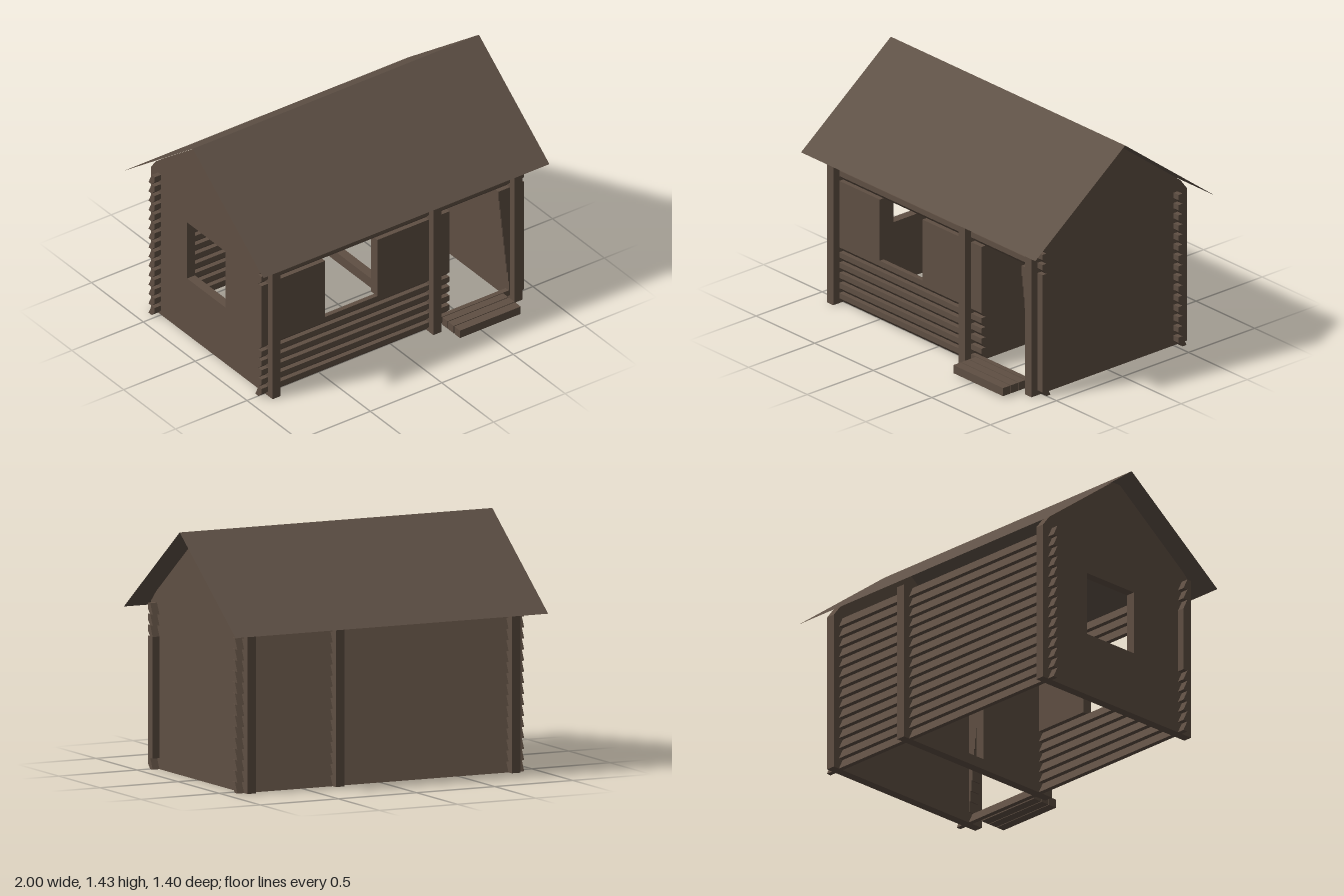
import * as THREE from 'three';

const ROW = 0.0633;          // height of one log
const WALL_ROWS = 15;        // rows up to the eaves
const GABLE_ROWS = 22;       // rows up to the ridge
const RIDGE_Z = -0.02;

export function createModel() {
  const model = new THREE.Group();
  model.name = 'logCabin';
  const wood = new THREE.MeshStandardMaterial({ color: 0x5f4f43 });
  wood.name = 'weatheredWood';
  const roofWood = new THREE.MeshStandardMaterial({ color: 0x5f5146, side: THREE.DoubleSide });
  roofWood.name = 'roofBoards';

  const group = (name) => {
    const g = new THREE.Group();
    g.name = name;
    model.add(g);
    return g;
  };

  // Straight timber along x with a cross-section given as [z, y] points
  const timber = (parent, name, section, x0, x1) => {
    const shape = new THREE.Shape(section.map(([z, y]) => new THREE.Vector2(z, y)));
    const geo = new THREE.ExtrudeGeometry(shape, { depth: x1 - x0, bevelEnabled: false });
    geo.rotateY(-Math.PI / 2).translate(x1, 0, 0);
    const mesh = new THREE.Mesh(geo, wood);
    mesh.name = name;
    parent.add(mesh);
  };
  const rect = (z0, z1, y0, y1) => [[z0, y0], [z1, y0], [z1, y1], [z0, y1]];

  // Undercut log: sloping ledge behind, notched face in front
  const logSection = (z, y) => [
    [z - 0.03, y], [z, y], [z + 0.03, y + 0.03], [z + 0.03, y + ROW], [z, y + ROW],
  ];

  // Front and back walls, with log ends crossing the end walls
  const front = group('frontWall');
  const back = group('backWall');
  const FZ = 0.5, BZ = -0.53;
  for (let i = 0; i < WALL_ROWS; i++) {
    const y = i * ROW;
    timber(back, 'backLog', logSection(BZ, y), -0.92, 0.915);
    const flat = rect(FZ - 0.03, FZ + 0.03, y, y + ROW);
    if (i === 0 || i >= 12) {
      timber(front, 'frontLog', logSection(FZ, y), -0.92, 0.915);
      continue;
    }
    if (i < 6) {
      timber(front, 'frontLog', logSection(FZ, y), -0.92, 0.395);
    } else {
      timber(front, 'windowSideLog', flat, -0.92, -0.475);
      timber(front, 'doorSideLog', flat, -0.11, 0.395);
    }
    // Short logs right of the doorway, longer towards the top
    timber(front, 'doorJambLog', flat, 0.81 - (y - ROW) * 0.115, 0.915);
  }

  // End walls and partition: flat logs running front to back, with an optional opening
  const Z0 = -0.6, Z1 = 0.575;
  const crossWall = (name, x0, x1, rows, opening) => {
    const g = group(name);
    const halfAt = (y) => (1.415 - y) / 0.757;
    for (let i = 0; i < rows; i++) {
      const y0 = i * ROW, y1 = y0 + ROW;
      if (i >= WALL_ROWS) {
        const lo = halfAt(y0), hi = halfAt(y1);
        timber(g, 'gableLog', [
          [Math.max(Z0, RIDGE_Z - lo), y0], [Math.min(Z1, RIDGE_Z + lo), y0],
          [Math.min(Z1, RIDGE_Z + hi), y1], [Math.max(Z0, RIDGE_Z - hi), y1],
        ], x0, x1);
      } else if (opening && i >= opening.from && i < opening.to) {
        timber(g, 'crossLog', rect(Z0, opening.z0, y0, y1), x0, x1);
        timber(g, 'crossLog', rect(opening.z1, Z1, y0, y1), x0, x1);
      } else {
        timber(g, 'crossLog', rect(Z0, Z1, y0, y1), x0, x1);
      }
    }
  };
  crossWall('leftEndWall', 0.817, 0.872, GABLE_ROWS, null);
  crossWall('rightEndWall', -0.875, -0.82, GABLE_ROWS, { from: 6, to: 12, z0: -0.25, z1: 0.12 });
  crossWall('partition', 0.25, 0.305, WALL_ROWS, { from: 1, to: 12, z0: -0.37, z1: 0.03 });

  // Doorstep planks
  const step = group('doorstep');
  for (let i = 0; i < 3; i++) {
    const z = 0.645 - i * 0.06;
    timber(step, 'stepPlank', rect(z, z + 0.055, 0.01, 0.06), 0.345, 0.77);
  }

  // Two thin roof slopes meeting at the ridge
  const roof = group('roof');
  const slope = (name, eaveZ) => {
    const rise = 0.515, run = eaveZ - RIDGE_Z;
    const geo = new THREE.PlaneGeometry(2, Math.hypot(rise, run));
    geo.rotateX(-Math.atan2(run, rise));
    const mesh = new THREE.Mesh(geo, roofWood);
    mesh.name = name;
    mesh.position.set(0, 0.915 + rise / 2, (eaveZ + RIDGE_Z) / 2);
    roof.add(mesh);
  };
  slope('frontRoof', 0.66);
  slope('backRoof', -0.7);

  return model;
}
